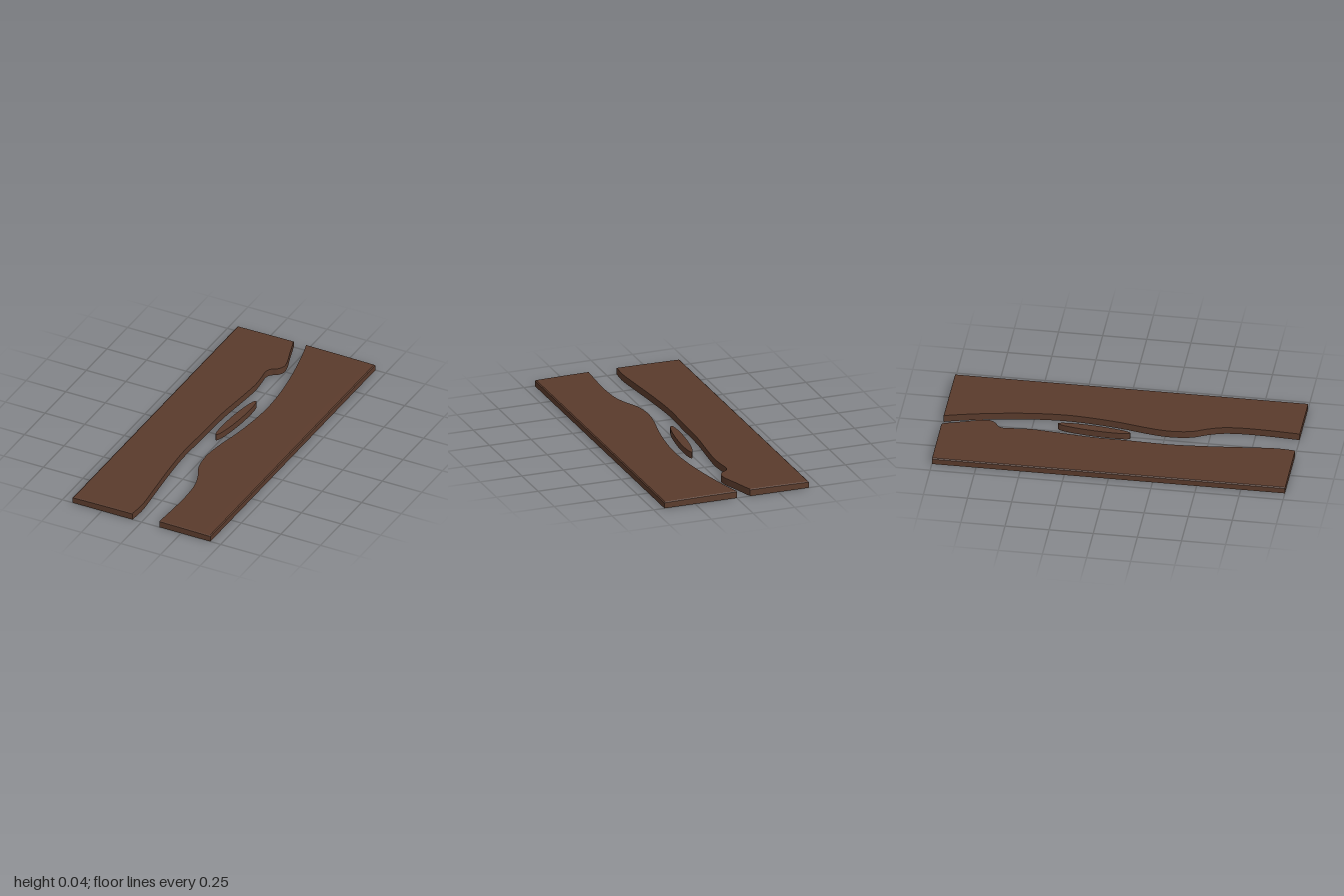
import * as THREE from 'three';
import { toCreasedNormals } from 'three/addons/utils/BufferGeometryUtils.js';

const wood = new THREE.MeshStandardMaterial({ color: 0x5a3b2c });
wood.name = 'dark walnut';

const HALF_WIDTH = 0.435;
const TOP = 0.041;
const crown = (x) => TOP - 0.004 * (x / HALF_WIDTH) ** 2;

// Live edges of the slabs as [x, z], from back to front
const rightEdge = [
  [-0.08, -1], [-0.042, -0.88], [-0.01, -0.78], [-0.008, -0.735], [-0.03, -0.7], [-0.06, -0.68],
  [-0.073, -0.65], [-0.067, -0.58], [-0.062, -0.5], [-0.071, -0.37], [-0.09, -0.155], [-0.095, 0.08],
  [-0.1, 0.295], [-0.087, 0.505], [-0.066, 0.72], [-0.051, 0.88], [-0.052, 0.94], [-0.057, 1],
];
const leftEdge = [
  [0, -1], [0.034, -0.87], [0.071, -0.69], [0.098, -0.5], [0.108, -0.315], [0.098, -0.155],
  [0.077, 0], [0.05, 0.135], [0.035, 0.24], [0.035, 0.32], [0.05, 0.405], [0.087, 0.485],
  [0.113, 0.565], [0.124, 0.665], [0.124, 0.8], [0.114, 1],
];

// Slab swept along z: straight bevelled outer edge, crowned top, wavy inner wall
function slab(name, edge, side) {
  const curve = new THREE.CatmullRomCurve3(edge.map(([x, z]) => new THREE.Vector3(x, 0, z)));
  const stations = curve.getPoints(90).map((p) => ({ x: p.x, z: p.z, end: false }));
  const first = stations[0], last = stations[stations.length - 1];
  stations.unshift({ x: first.x, z: -1, end: true });
  stations.push({ x: last.x, z: 1, end: true });
  first.z = -0.994;
  last.z = 0.994;

  const pos = [], index = [], spans = 6, n = 4 + spans;
  for (const { x, z, end } of stations) {
    const outer = side * HALF_WIDTH, shoulder = side * (HALF_WIDTH - 0.006);
    const section = [[x, 0], [outer, 0], [outer, 0.032]];
    for (let k = 0; k <= spans; k++) {
      const px = THREE.MathUtils.lerp(shoulder, x, k / spans);
      section.push([px, crown(px) - (end ? 0.004 : 0)]);
    }
    for (const [px, py] of section) pos.push(px, py, z);
  }
  const tri = (a, b, c) => (side > 0 ? index.push(a, b, c) : index.push(a, c, b));
  for (let i = 0; i < stations.length - 1; i++) {
    for (let j = 0; j < n; j++) {
      const a = i * n + j, b = i * n + ((j + 1) % n);
      tri(a, b, b + n);
      tri(a, b + n, a + n);
    }
  }
  // End caps
  const front = (stations.length - 1) * n;
  for (let j = 1; j < n - 1; j++) {
    tri(front, front + j, front + j + 1);
    tri(0, j + 1, j);
  }
  const geo = new THREE.BufferGeometry();
  geo.setAttribute('position', new THREE.Float32BufferAttribute(pos, 3));
  geo.setIndex(index);
  const mesh = new THREE.Mesh(toCreasedNormals(geo, 0.4), wood);
  mesh.name = name;
  return mesh;
}

export function createModel() {
  const group = new THREE.Group();
  group.name = 'liveEdgeTabletop';
  group.add(slab('rightSlab', rightEdge, -1), slab('leftSlab', leftEdge, 1));

  // Slim island of wood in the gap
  const height = TOP - 0.003;
  const islandGeo = new THREE.CylinderGeometry(1, 1, height, 48);
  islandGeo.scale(0.026, 1, 0.208);
  const island = new THREE.Mesh(islandGeo, wood);
  island.name = 'woodIsland';
  island.position.set(0, TOP - height / 2, -0.146);
  island.rotation.y = -0.09;
  group.add(island);
  return group;
}
